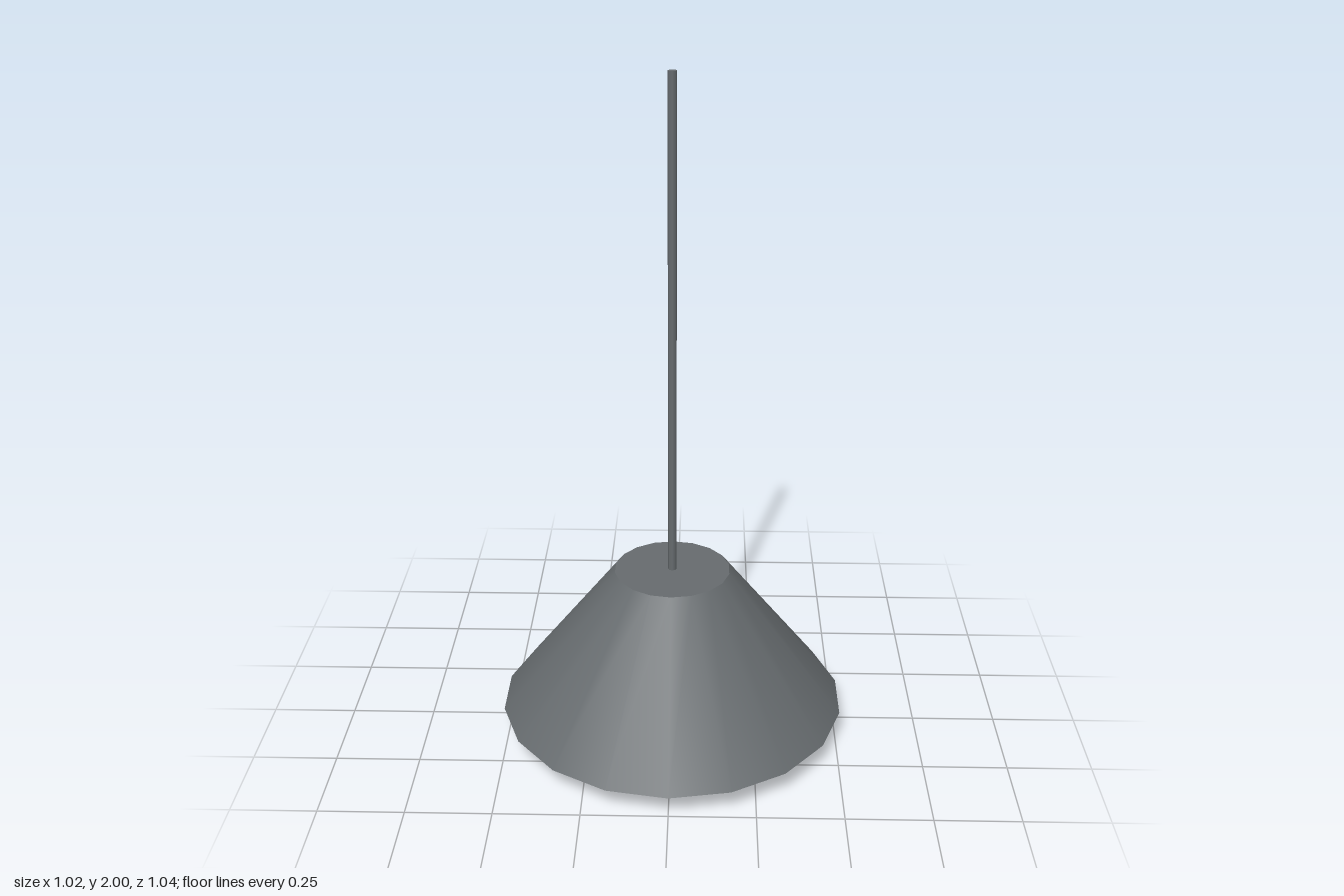
import * as THREE from 'three';

export function createModel() {
  const lamp = new THREE.Group();
  lamp.name = 'pendantLamp';

  const greyMetal = new THREE.MeshStandardMaterial({ color: 0x666b6e });
  greyMetal.name = 'greyMetal';
  const warmGlass = new THREE.MeshStandardMaterial({ color: 0xdccbab });
  warmGlass.name = 'warmGlass';

  const add = (name, geometry, material, y) => {
    const mesh = new THREE.Mesh(geometry, material);
    mesh.name = name;
    mesh.position.y = y;
    lamp.add(mesh);
  };

  const shadeBottom = 0.077, shadeTop = 0.522, bulbRadius = 0.143;

  // Hanging rod, from the top of the shade upwards
  add('rod', new THREE.CylinderGeometry(0.0125, 0.0125, 2 - shadeTop, 8),
    greyMetal, (2 + shadeTop) / 2);

  // Closed conical shade with 18 sides
  add('shade', new THREE.CylinderGeometry(0.173, 0.52, shadeTop - shadeBottom, 18),
    greyMetal, (shadeTop + shadeBottom) / 2);

  // Bulb, peeking out below the shade
  add('bulb', new THREE.SphereGeometry(bulbRadius, 12, 8), warmGlass, bulbRadius);

  return lamp;
}
